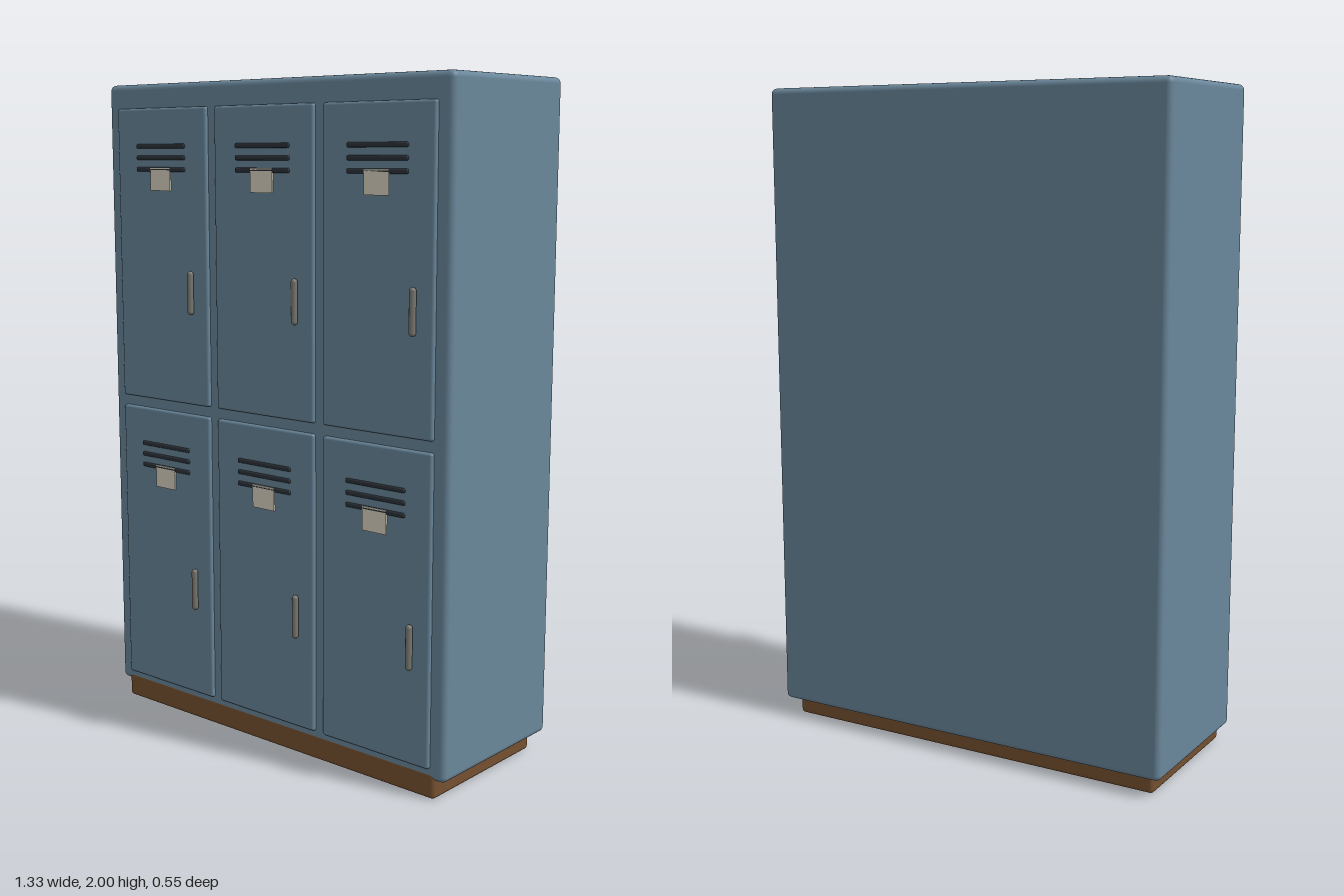
import * as THREE from 'three';
import { RoundedBoxGeometry } from 'three/addons/geometries/RoundedBoxGeometry.js';

const paint = (color) => new THREE.MeshStandardMaterial({ color });
const steel = paint(0x6a879b);
const wood = paint(0x75502f);
const dark = paint(0x2b3138);
const card = paint(0xd8d2c0);
const metal = paint(0x77766f);

function add(parent, name, geometry, material, x, y, z) {
  const mesh = new THREE.Mesh(geometry, material);
  mesh.name = name;
  mesh.position.set(x, y, z);
  parent.add(mesh);
  return mesh;
}

export function createModel() {
  const model = new THREE.Group();
  model.name = 'lockerBank';

  // Cabinet shell on a recessed plinth
  add(model, 'cabinet', new RoundedBoxGeometry(1.33, 1.94, 0.52, 3, 0.018), steel, 0, 1.03, -0.016);
  add(model, 'plinth', new RoundedBoxGeometry(1.26, 0.08, 0.485, 2, 0.012), wood, 0, 0.045, 0.002);

  // Shared door geometry
  const panel = new RoundedBoxGeometry(0.388, 0.9, 0.03, 2, 0.008);
  const slot = new RoundedBoxGeometry(0.212, 0.014, 0.012, 2, 0.005);
  const label = new THREE.BoxGeometry(0.085, 0.07, 0.008);
  const grip = new THREE.CapsuleGeometry(0.01, 0.113, 6, 12);

  // Two rows of three doors, each with vents, label and handle
  [0.545, 1.477].forEach((y, row) => {
    [-0.422, 0, 0.422].forEach((x, column) => {
      const door = new THREE.Group();
      door.name = `door${row * 3 + column + 1}`;
      door.position.set(x, y, 0);
      add(door, 'doorPanel', panel, steel, 0, 0, 0.24);
      for (let i = 0; i < 3; i++) add(door, 'ventSlot', slot, dark, 0, 0.265 + i * 0.035, 0.254);
      add(door, 'nameCard', label, card, 0, 0.236, 0.256);
      add(door, 'handle', grip, metal, 0.132, -0.104, 0.266);
      model.add(door);
    });
  });

  return model;
}
